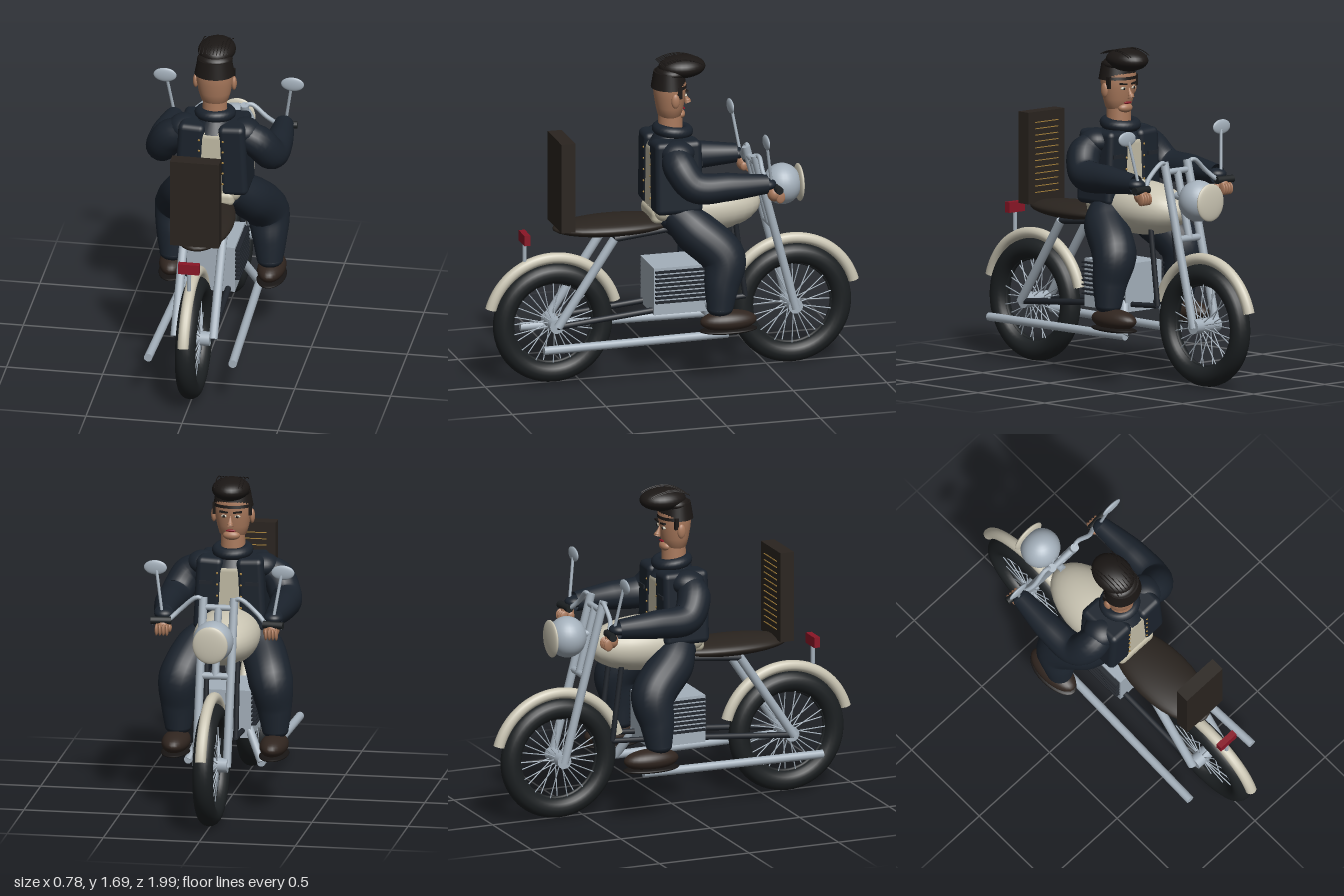
import * as THREE from 'three';
import { RoundedBoxGeometry } from 'three/addons/geometries/RoundedBoxGeometry.js';

const V = (p) => new THREE.Vector3(...p);
const mat = (color) => new THREE.MeshStandardMaterial({ color, side: THREE.DoubleSide });
const M = {
  metal: mat(0xa4b0bb), rubber: mat(0x1c2022), cream: mat(0xcac5b3), leather: mat(0x2a241f),
  denim: mat(0x1b232d), frame: mat(0x20252c), skin: mat(0xa9795c), hair: mat(0x1b1715),
  red: mat(0x8a1626), shoe: mat(0x30251f), sole: mat(0x181514), brass: mat(0xa5803a), shirt: mat(0xc2bca6),
};

export function createModel() {
  const model = new THREE.Group();
  model.name = 'motorcycleAndRider';

  const add = (name, geo, m, pos = [0, 0, 0], parent = model) => {
    const mesh = new THREE.Mesh(geo, m);
    mesh.name = name;
    mesh.position.set(...pos);
    parent.add(mesh);
    return mesh;
  };
  const ball = (name, m, pos, r, parent) =>
    add(name, new THREE.SphereGeometry(1, 28, 18).scale(...r), m, pos, parent);
  const box = (name, m, pos, size, parent) => add(name, new THREE.BoxGeometry(...size), m, pos, parent);
  const round = (name, m, pos, size, r) => add(name, new RoundedBoxGeometry(...size, 3, r), m, pos);
  // straight rod between two points
  const rod = (name, m, a, b, r, parent) => {
    const A = V(a), B = V(b), d = B.clone().sub(A);
    const mesh = add(name, new THREE.CylinderGeometry(r, r, d.length(), 14), m, [0, 0, 0], parent);
    mesh.position.copy(A).add(B).multiplyScalar(0.5);
    mesh.quaternion.setFromUnitVectors(new THREE.Vector3(0, 1, 0), d.normalize());
    return mesh;
  };
  // tube whose radius varies; each section is [x, y, z, radius]
  const limb = (name, m, sections) => {
    const curve = new THREE.CatmullRomCurve3(sections.map((s) => V(s.slice(0, 3))), false, 'centripetal');
    const n = 32, k = 20;
    const geo = new THREE.TubeGeometry(curve, n, 1, k);
    const p = geo.attributes.position, v = new THREE.Vector3();
    for (let i = 0; i <= n; i++) {
      const c = curve.getPointAt(i / n);
      const t = curve.getUtoTmapping(i / n) * (sections.length - 1);
      const j = Math.min(Math.floor(t), sections.length - 2);
      const r = THREE.MathUtils.lerp(sections[j][3], sections[j + 1][3], t - j);
      for (let q = 0; q <= k; q++) {
        const id = i * (k + 1) + q;
        v.fromBufferAttribute(p, id).sub(c).multiplyScalar(r).add(c);
        p.setXYZ(id, v.x, v.y, v.z);
      }
    }
    add(name, geo, m);
    for (const s of [sections[0], sections[sections.length - 1]])
      ball(name + 'End', m, s.slice(0, 3), [s[3], s[3] * 0.6, s[3]]);
  };

  // wheels with spokes and fenders
  for (const [name, z] of [['rearWheel', 0.64], ['frontWheel', -0.635]]) {
    const w = new THREE.Group();
    w.name = name;
    w.position.set(0, 0.32, z);
    model.add(w);
    add('tyre', new THREE.TorusGeometry(0.264, 0.053, 18, 56).rotateY(Math.PI / 2), M.rubber, [0, 0, 0], w);
    add('rim', new THREE.TorusGeometry(0.216, 0.012, 8, 48).rotateY(Math.PI / 2), M.rubber, [0, 0, 0], w);
    add('hub', new THREE.CylinderGeometry(0.038, 0.038, 0.17, 20).rotateZ(Math.PI / 2), M.metal, [0, 0, 0], w);
    for (let i = 0; i < 28; i++) {
      const a = (i / 28) * Math.PI * 2, c = Math.cos(a), s = Math.sin(a), x = i % 2 ? 0.035 : -0.035;
      rod('spoke', M.metal, [x, 0.03 * s, 0.03 * c], [x * 0.3, 0.215 * s, 0.215 * c], 0.003, w);
    }
    const arc = THREE.MathUtils.degToRad(148);
    add('fender', new THREE.TorusGeometry(0.344, 0.029, 14, 40, arc)
      .rotateZ((Math.PI - arc) / 2).rotateY(Math.PI / 2), M.cream, [0, 0, 0], w);
  }

  // engine block with cooling fins
  box('engine', M.metal, [0, 0.475, -0.02], [0.25, 0.25, 0.31]);
  for (let i = 0; i < 8; i++) box('coolingFin', M.frame, [0, 0.42 + i * 0.023, -0.02], [0.3, 0.008, 0.3]);

  // frame, fork, handlebar, mirrors and exhausts
  for (const s of [-1, 1]) {
    const P = (x, y, z) => [s * x, y, z];
    rod('rearStrut', M.metal, P(0.1, 0.32, 0.64), P(0.1, 0.77, 0.34), 0.023);
    rod('seatRail', M.frame, P(0.1, 0.77, 0.34), P(0.09, 0.8, 0.02), 0.017);
    rod('chainStay', M.frame, P(0.09, 0.32, 0.64), P(0.09, 0.37, 0.1), 0.016);
    rod('downTube', M.frame, P(0.08, 0.83, -0.31), P(0.08, 0.4, -0.365), 0.014);
    rod('engineCradle', M.frame, P(0.08, 0.4, -0.365), P(0.08, 0.37, 0.1), 0.014);
    rod('topRail', M.frame, P(0.08, 0.83, -0.31), P(0.09, 0.8, 0.02), 0.014);
    rod('forkLeg', M.metal, P(0.08, 0.31, -0.635), P(0.08, 1.15, -0.415), 0.022);
    const bar = new THREE.CatmullRomCurve3(
      [P(0.07, 1.13, -0.42), P(0.11, 1.15, -0.43), P(0.2, 1.08, -0.43), P(0.26, 1.03, -0.46), P(0.34, 1.02, -0.475)].map(V));
    add('handlebar', new THREE.TubeGeometry(bar, 24, 0.012, 10), M.metal);
    rod('grip', M.rubber, P(0.24, 1.03, -0.465), P(0.345, 1.03, -0.475), 0.02);
    rod('mirrorStem', M.metal, P(0.285, 1.03, -0.45), P(0.325, 1.28, -0.41), 0.008);
    ball('mirror', M.metal, P(0.332, 1.293, -0.405), [0.06, 0.038, 0.012]);
    rod('exhaustPipe', M.metal, P(0.19, 0.24, -0.24), P(0.22, 0.24, 0.75), 0.022);
    rod('exhaustHeader', M.metal, P(0.11, 0.4, -0.15), P(0.19, 0.24, -0.23), 0.022);
  }
  rod('forkBridge', M.metal, [-0.08, 1.1, -0.428], [0.08, 1.1, -0.428], 0.016);
  rod('lowerForkBridge', M.metal, [-0.08, 0.76, -0.517], [0.08, 0.76, -0.517], 0.018);
  rod('headlightBracket', M.metal, [0, 0.97, -0.42], [0, 0.96, -0.55], 0.02);
  rod('steeringStem', M.metal, [0, 0.76, -0.517], [0, 1.1, -0.428], 0.02);

  // headlight, tank, seat and tail light
  ball('headlight', M.metal, [0, 0.96, -0.585], [0.105, 0.107, 0.1]);
  ball('headlightLens', M.cream, [0, 0.96, -0.675], [0.092, 0.098, 0.018]);
  ball('tank', M.cream, [0, 0.885, -0.165], [0.17, 0.14, 0.3]);
  ball('seat', M.leather, [0, 0.818, 0.31], [0.15, 0.048, 0.33]);
  box('backrest', M.leather, [0, 1.07, 0.592], [0.255, 0.475, 0.075]);
  for (let i = 0; i < 12; i++) box('backrestPleat', M.brass, [0, 0.89 + i * 0.033, 0.553], [0.16, 0.004, 0.006]);
  box('tailLight', M.red, [0, 0.785, 0.79], [0.11, 0.055, 0.032]);
  rod('tailLightStem', M.metal, [0, 0.66, 0.79], [0, 0.77, 0.79], 0.011);

  // torso: shirt under an open jacket
  round('shirt', M.shirt, [0, 1.05, 0.012], [0.3, 0.41, 0.235], 0.05);
  round('shirtTail', M.shirt, [0, 0.87, 0.03], [0.24, 0.08, 0.22], 0.03);
  ball('hips', M.denim, [0, 0.85, 0.02], [0.16, 0.08, 0.1]);
  for (const s of [-1, 1]) {
    const half = round('jacketSide', M.denim, [s * 0.112, 1.085, 0.012], [0.14, 0.385, 0.25], 0.03);
    half.rotation.z = s * 0.05;
    ball('shoulder', M.denim, [s * 0.155, 1.22, 0.02], [0.085, 0.065, 0.09]);
    for (let i = 0; i < 5; i++) {
      for (const z of [0.137, -0.113]) ball('stud', M.brass, [s * 0.062, 0.96 + i * 0.06, z], [0.006, 0.006, 0.004]);
    }
    box('pocketFlap', M.frame, [s * 0.12, 1.15, -0.115], [0.07, 0.02, 0.008]);
  }
  add('collar', new THREE.TorusGeometry(0.077, 0.03, 12, 32).rotateX(Math.PI / 2), M.denim, [0, 1.302, 0]).rotation.x = -0.12;
  add('collarBase', new THREE.CylinderGeometry(0.075, 0.12, 0.07, 28), M.denim, [0, 1.262, 0.01]);

  // arms, hands, legs and shoes
  for (const s of [-1, 1]) {
    const P = (x, y, z, ...r) => [s * x, y, z, ...r];
    limb('sleeve', M.denim, [P(0.16, 1.2, 0.03, 0.075), P(0.23, 1.16, 0.025, 0.088), P(0.285, 1.07, -0.04, 0.083),
      P(0.295, 1.06, -0.22, 0.073), P(0.285, 1.055, -0.42, 0.05)]);
    ball('hand', M.skin, P(0.285, 1.0, -0.46), [0.038, 0.04, 0.035]);
    for (let i = 0; i < 4; i++) ball('finger', M.skin, P(0.258 + i * 0.018, 0.985, -0.487), [0.009, 0.032, 0.025]);
    ball('thumb', M.skin, P(0.25, 0.99, -0.455), [0.012, 0.024, 0.02]);
    limb('trouserLeg', M.denim, [P(0.09, 0.87, 0.0, 0.09), P(0.165, 0.8, -0.07, 0.115), P(0.235, 0.66, -0.205, 0.116),
      P(0.25, 0.52, -0.19, 0.09), P(0.253, 0.4, -0.18, 0.068)]);
    ball('shoe', M.shoe, P(0.255, 0.332, -0.225), [0.072, 0.055, 0.15]);
    ball('sole', M.sole, P(0.255, 0.283, -0.225), [0.075, 0.016, 0.153]);
  }

  // head and face, looking towards -z
  add('neck', new THREE.CylinderGeometry(0.06, 0.066, 0.16, 24), M.skin, [0, 1.345, 0.012]);
  const headProfile = [[0, 1.362], [0.045, 1.365], [0.07, 1.385], [0.083, 1.43], [0.094, 1.49], [0.099, 1.55], [0.085, 1.61], [0, 1.63]];
  add('head', new THREE.LatheGeometry(headProfile.map(([x, y]) => new THREE.Vector2(x, y)), 36).scale(1, 1, 0.86), M.skin, [0, 0, 0.016]);
  ball('chin', M.skin, [0, 1.385, -0.035], [0.045, 0.026, 0.03]);
  const nose = add('nose', new THREE.ConeGeometry(0.018, 0.06, 12), M.skin, [0, 1.47, -0.072]);
  nose.rotation.x = 0.3;
  ball('noseTip', M.skin, [0, 1.452, -0.08], [0.015, 0.012, 0.016]);
  ball('mouth', M.red, [0, 1.413, -0.056], [0.026, 0.006, 0.008]);
  for (const s of [-1, 1]) {
    ball('ear', M.skin, [s * 0.1, 1.48, 0.012], [0.014, 0.038, 0.022]);
    ball('eye', M.cream, [s * 0.035, 1.49, -0.058], [0.016, 0.008, 0.01]);
    ball('pupil', M.hair, [s * 0.035, 1.49, -0.066], [0.007, 0.007, 0.004]);
    box('eyebrow', M.hair, [s * 0.036, 1.513, -0.063], [0.044, 0.009, 0.014]).rotation.z = s * 0.1;
    box('sideburn', M.hair, [s * 0.094, 1.52, -0.012], [0.014, 0.06, 0.022]);
  }

  // hair with a swept quiff and fine strands
  add('hairCap', new THREE.CylinderGeometry(0.088, 0.104, 0.085, 36).scale(1, 1, 0.88), M.hair, [0, 1.575, 0.02]);
  ball('hairCrown', M.hair, [0, 1.61, 0.01], [0.092, 0.04, 0.08]);
  ball('quiff', M.hair, [0, 1.635, -0.05], [0.097, 0.058, 0.123]);
  for (let i = -4; i <= 4; i++) {
    const x = i * 0.018;
    const strand = new THREE.QuadraticBezierCurve3(V([x, 1.66, 0.07]), V([x, 1.715, -0.03]), V([x, 1.66, -0.14]));
    add('hairStrand', new THREE.TubeGeometry(strand, 10, 0.0025, 5), M.hair);
  }
  return model;
}
